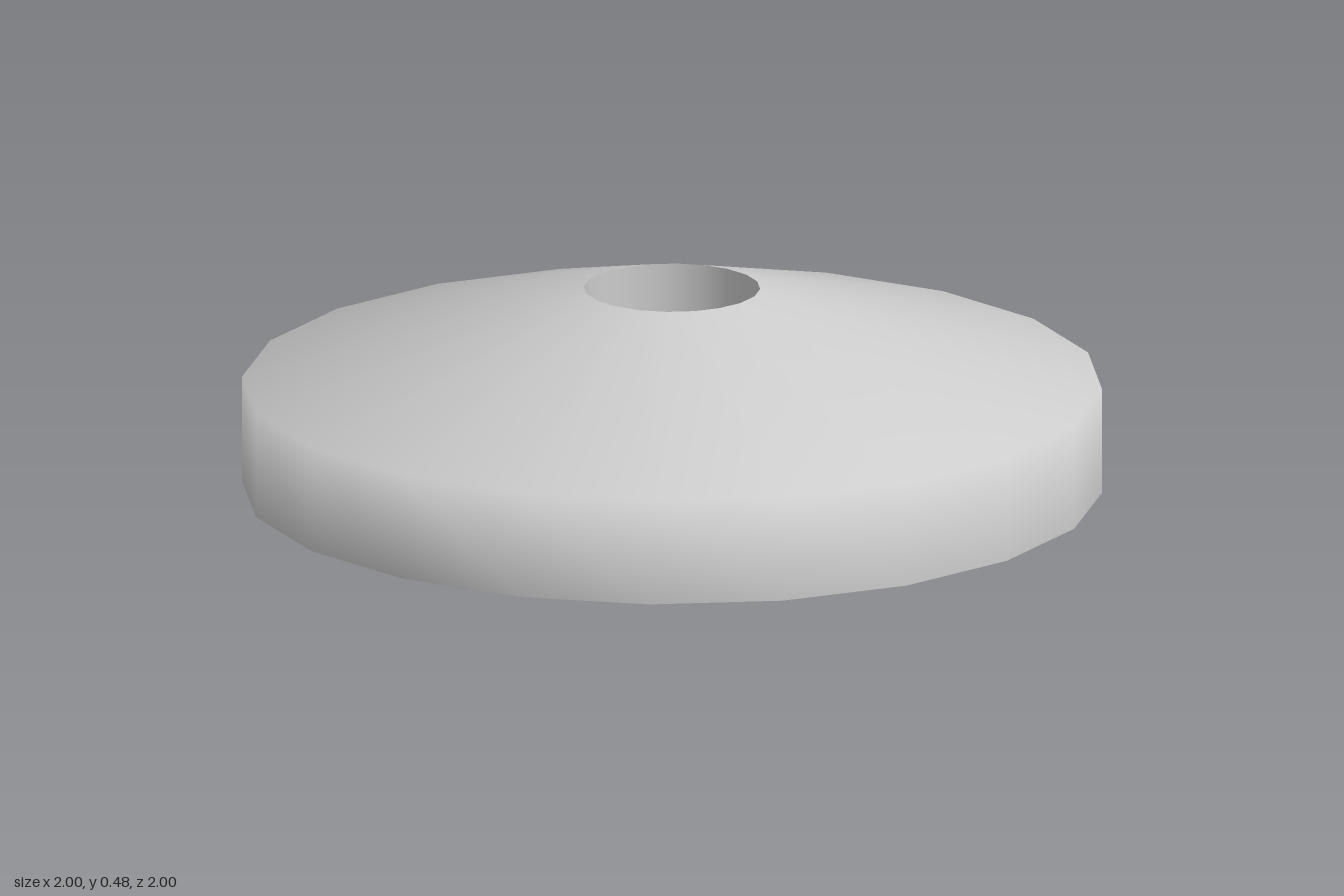
import * as THREE from 'three';

const SIDES = 20;
const RIM = 1, HOLE = 0.205;
const RIM_Y = 0.25, TOP_Y = 0.48, FLOOR_Y = 0.01;

export function createModel() {
  const group = new THREE.Group();
  group.name = 'conicalDisc';
  const material = new THREE.MeshStandardMaterial({ color: 0xcccccc });

  const add = (name, geometry) => {
    const mesh = new THREE.Mesh(geometry, material);
    mesh.name = name;
    group.add(mesh);
    return mesh;
  };
  const lathe = (...points) =>
    new THREE.LatheGeometry(points.map(([r, y]) => new THREE.Vector2(r, y)), SIDES);

  // Upright rim flowing smoothly into the sloped top
  add('outerShell', lathe([RIM, 0], [RIM, RIM_Y], [HOLE, TOP_Y]));

  // Round hole in the centre, running down to the base
  add('holeWall', lathe([HOLE, TOP_Y], [HOLE, FLOOR_Y]));
  const floor = add('holeFloor', new THREE.CircleGeometry(HOLE, SIDES));
  floor.rotation.x = -Math.PI / 2;
  floor.position.y = FLOOR_Y;

  // Flat closed underside
  const base = add('base', new THREE.CircleGeometry(RIM, SIDES));
  base.rotation.x = Math.PI / 2;

  return group;
}
